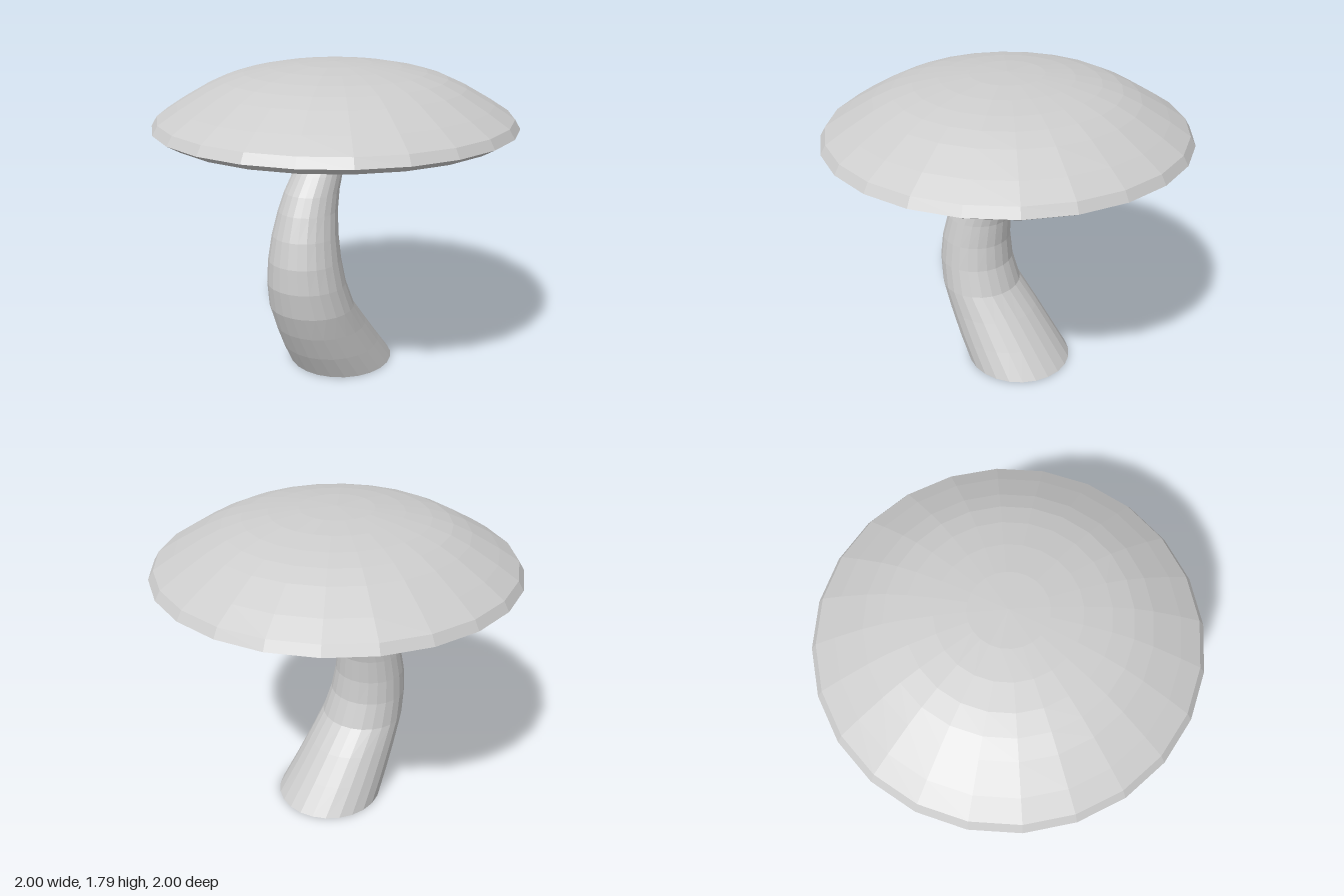
import * as THREE from 'three';

const SIDES = 24;

// Skin a tube from horizontal elliptical rings: [y, xMin, xMax, zMin, zMax]
function loft(rings, sides) {
  const pos = [], index = [];
  rings.forEach(([y, x0, x1, z0, z1], r) => {
    for (let i = 0; i < sides; i++) {
      const a = (i / sides) * Math.PI * 2;
      pos.push((x0 + x1) / 2 + Math.sin(a) * (x1 - x0) / 2, y,
        (z0 + z1) / 2 + Math.cos(a) * (z1 - z0) / 2);
      if (r === 0) continue;
      const j = (i + 1) % sides, lo = (r - 1) * sides, hi = r * sides;
      index.push(lo + i, lo + j, hi + j, lo + i, hi + j, hi + i);
    }
  });
  const g = new THREE.BufferGeometry();
  g.setAttribute('position', new THREE.Float32BufferAttribute(pos, 3));
  g.setIndex(index);
  g.computeVertexNormals();
  return g;
}

export function createModel() {
  const group = new THREE.Group();
  group.name = 'mushroom';
  const material = new THREE.MeshStandardMaterial({
    color: 0xcccccc, flatShading: true, side: THREE.DoubleSide,
  });

  // Cap: dished underside, bevelled rim, shallow dome
  const profile = [
    [0, 1.46], [0.2, 1.455], [0.36, 1.44], [0.5, 1.42], [0.62, 1.407], [0.76, 1.403],
    [0.93, 1.42], [1, 1.46], [0.97, 1.51], [0.86, 1.58], [0.71, 1.665], [0.61, 1.71],
    [0.5, 1.743], [0.36, 1.77], [0.2, 1.788], [0, 1.795],
  ].map(([r, y]) => new THREE.Vector2(r, y));
  const cap = new THREE.Mesh(new THREE.LatheGeometry(profile, SIDES), material);
  cap.name = 'cap';

  // Stem: curved, tapering and open at the base
  const stem = new THREE.Mesh(loft([
    [0, -0.31, 0.305, -0.39, 0.23],
    [0.15, -0.307, 0.262, -0.27, 0.315],
    [0.3, -0.303, 0.222, -0.15, 0.385],
    [0.44, -0.298, 0.19, -0.03, 0.435],
    [0.59, -0.29, 0.157, 0.025, 0.455],
    [0.73, -0.28, 0.13, 0.042, 0.445],
    [0.87, -0.265, 0.105, 0.037, 0.41],
    [1, -0.245, 0.085, 0.01, 0.36],
    [1.1, -0.225, 0.078, -0.015, 0.31],
    [1.2, -0.198, 0.078, -0.05, 0.24],
    [1.3, -0.155, 0.081, -0.08, 0.155],
    [1.4, -0.1, 0.085, -0.092, 0.092],
    [1.48, -0.07, 0.085, -0.09, 0.06],
  ], SIDES), material);
  stem.name = 'stem';

  group.add(cap, stem);
  return group;
}
